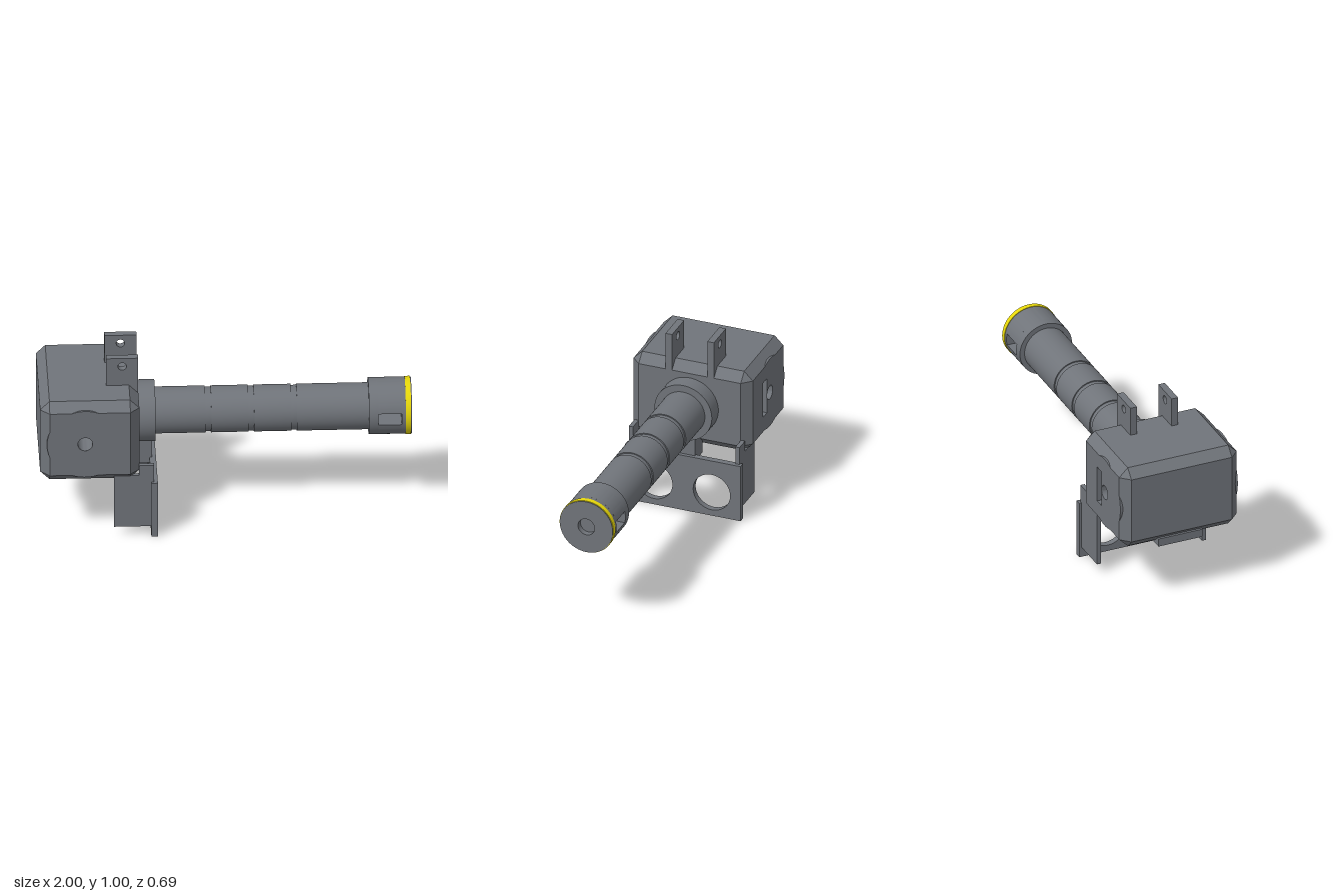
import * as THREE from 'three';
import { toCreasedNormals } from 'three/addons/utils/BufferGeometryUtils.js';

const AXIS_Y = 0.591; // height of the handle axis and head centre
const HOLE_X = -0.76; // cross hole through the head

const darkGrey = new THREE.MeshStandardMaterial({ color: 0x70747a });
const yellow = new THREE.MeshStandardMaterial({ color: 0xe8d80a });

function add(parent, name, geometry, material = darkGrey) {
  const mesh = new THREE.Mesh(geometry, material);
  mesh.name = name;
  parent.add(mesh);
  return mesh;
}

function box(x0, x1, y0, y1, z0, z1) {
  return new THREE.BoxGeometry(x1 - x0, y1 - y0, z1 - z0)
    .translate((x0 + x1) / 2, (y0 + y1) / 2, (z0 + z1) / 2);
}

// Turns a surface inside out, optionally keeping only the first indices
function flip(geometry, count) {
  geometry.setIndex(Array.from(geometry.index.array).slice(0, count).reverse());
  const flat = geometry.toNonIndexed();
  flat.computeVertexNormals();
  return flat;
}

// Turned part along x from [x, radius] pairs
function turned(profile) {
  const points = profile.map(([x, r]) => new THREE.Vector2(r, x));
  const geometry = new THREE.LatheGeometry(points, 64).rotateZ(-Math.PI / 2).translate(0, AXIS_Y, 0);
  return toCreasedNormals(geometry, 0.5);
}

function polygon(points) {
  return new THREE.Shape(points.map(([x, y]) => new THREE.Vector2(x, y)));
}

function circle(x, y, r) {
  return new THREE.Path().absarc(x, y, r, 0, Math.PI * 2, true);
}

// Slice of a disc beyond a chord at the given distance from its centre
function discSlice(r, distance, angle) {
  const a = Math.acos(distance / r);
  return new THREE.Shape().absarc(0, 0, r, angle - a, angle + a);
}

function extrude(shape, depth) {
  return new THREE.ExtrudeGeometry(shape, { depth, bevelEnabled: false, curveSegments: 24 });
}

// Extrusion along +x of a symmetric shape drawn in z and y
function extrudeX(shape, x0, x1) {
  return extrude(shape, x1 - x0).rotateY(Math.PI / 2).translate(x0, 0, 0);
}

function buildHead() {
  const head = new THREE.Group();
  head.name = 'head';
  const X0 = -1, X1 = -0.468, Y0 = 0.349, Y1 = 0.833, Z = 0.345, C = 0.05;

  // Eight-point outline; cut = 0 at the corners gives the inset rectangle of the end faces
  const ring = (inset, cut, z) => {
    const [a, b, c, d] = [X0 + inset, X1 - inset, Y0 + inset, Y1 - inset];
    return [[a + cut, c], [b - cut, c], [b, c + cut], [b, d - cut],
      [b - cut, d], [a + cut, d], [a, d - cut], [a, c + cut]].map(([x, y]) => [x, y, z]);
  };
  const rings = [ring(C, 0, -Z), ring(0, C, C - Z), ring(0, C, Z - C), ring(C, 0, Z)];
  const positions = [];
  for (let k = 0; k < 3; k++) {
    for (let i = 0; i < 8; i++) {
      const j = (i + 1) % 8;
      const [a, b, c, d] = [rings[k][i], rings[k][j], rings[k + 1][j], rings[k + 1][i]];
      positions.push(...a, ...b, ...c, ...a, ...c, ...d);
    }
  }
  const walls = new THREE.BufferGeometry();
  walls.setAttribute('position', new THREE.Float32BufferAttribute(positions, 3));
  walls.computeVertexNormals();
  add(head, 'headBody', walls);

  // End faces with the cross hole; the back one also has a slot
  const face = () => {
    const shape = polygon([[X0 + C, Y0 + C], [X1 - C, Y0 + C], [X1 - C, Y1 - C], [X0 + C, Y1 - C]]);
    shape.holes.push(circle(HOLE_X, AXIS_Y, 0.04));
    return shape;
  };
  add(head, 'headFrontFace', new THREE.ShapeGeometry(face(), 24).translate(0, 0, Z));
  const [sx0, sx1, sy0, sy1] = [-0.718, -0.663, 0.488, 0.697];
  const backShape = face();
  backShape.holes.push(polygon([[sx0, sy0], [sx0, sy1], [sx1, sy1], [sx1, sy0]]));
  add(head, 'headBackFace', flip(new THREE.ShapeGeometry(backShape, 24)).translate(0, 0, -Z));
  add(head, 'headSlot', flip(box(sx0, sx1, sy0, sy1, -Z, -Z + 0.06), 30));
  const tunnel = new THREE.CylinderGeometry(0.04, 0.04, Z * 2, 32, 1, true).rotateX(Math.PI / 2);
  add(head, 'crossHole', toCreasedNormals(flip(tunnel), 0.5)).position.set(HOLE_X, AXIS_Y, 0);

  // Rounded lips where a disc breaks through the chamfers of both end faces
  const lips = [[Y1 - C - AXIS_Y, Math.PI / 2], [AXIS_Y - Y0 - C, -Math.PI / 2], [HOLE_X - X0 - C, Math.PI]];
  for (const [distance, angle] of lips) {
    const lip = toCreasedNormals(extrude(discSlice(0.205, distance, angle), C), 0.5);
    for (const z of [Z - C, -Z]) add(head, 'faceLip', lip).position.set(HOLE_X, AXIS_Y, z);
  }

  // Sight tabs on top
  const tab = polygon([[-0.64, 0.78], [-0.468, 0.78], [-0.468, 1], [-0.64, 1]]);
  tab.holes.push(circle(-0.554, 0.95, 0.023));
  for (const z of [0.102, -0.14]) {
    add(head, 'topTab', extrude(tab, 0.038)).position.z = z;
  }
  add(head, 'underBlock', box(-0.985, -0.68, 0.324, 0.37, -0.13, 0.13));
  return head;
}

function buildHandle() {
  const handle = new THREE.Group();
  handle.name = 'handle';
  add(handle, 'collar', turned([[-0.475, 0], [-0.475, 0.166], [-0.375, 0.166], [-0.375, 0]]));

  // Grip with three grooves
  const grip = [[-0.4, 0.126]];
  for (const x of [-0.105, 0.125, 0.355]) {
    grip.push([x, 0.126], [x, 0.12], [x + 0.03, 0.12], [x + 0.03, 0.126]);
  }
  grip.push([0.78, 0.126]);
  add(handle, 'grip', turned(grip));

  // Pommel: two round ends joined by disc slices that leave a slot through it
  const R = 0.153, S0 = 0.82, S1 = 0.945;
  add(handle, 'pommelBase', turned([[0.77, 0], [0.77, R], [S0, R], [S0, 0]]));
  for (const angle of [Math.PI / 2, -Math.PI / 2]) {
    const side = toCreasedNormals(extrudeX(discSlice(R, 0.034, angle), S0, S1), 0.5);
    add(handle, 'pommelSide', side).position.y = AXIS_Y;
  }
  // End cap with a blind bore
  add(handle, 'pommelEnd', turned([[S1, 0], [S1, R], [1, R], [1, 0.048], [0.965, 0.048], [0.965, 0]]));
  add(handle, 'pommelRing', turned([[0.967, 0.15], [0.967, 0.156], [0.995, 0.156], [0.995, 0.15]]), yellow);
  return handle;
}

function buildBracket() {
  const bracket = new THREE.Group();
  bracket.name = 'bracket';
  // Cross plate with two round openings
  const plate = polygon([[-0.334, 0], [0.334, 0], [0.334, 0.333], [-0.334, 0.333]]);
  for (const z of [-0.167, 0.167]) plate.holes.push(circle(z, 0.142, 0.107));
  add(bracket, 'crossPlate', toCreasedNormals(extrudeX(plate, -0.405, -0.37), 0.5));

  // Side plates with a raised front tab
  const side = polygon([[-0.605, 0.058], [-0.39, 0.058], [-0.39, 0.436], [-0.47, 0.436], [-0.47, 0.375], [-0.605, 0.375]]);
  for (const z of [0.296, -0.32]) {
    add(bracket, 'sidePlate', extrude(side, 0.024)).position.z = z;
  }
  add(bracket, 'centreTab', box(-0.5, -0.39, 0.3, 0.44, -0.062, 0.062));
  return bracket;
}

export function createModel() {
  const model = new THREE.Group();
  model.name = 'hammer';
  model.add(buildHead(), buildHandle(), buildBracket());
  return model;
}
